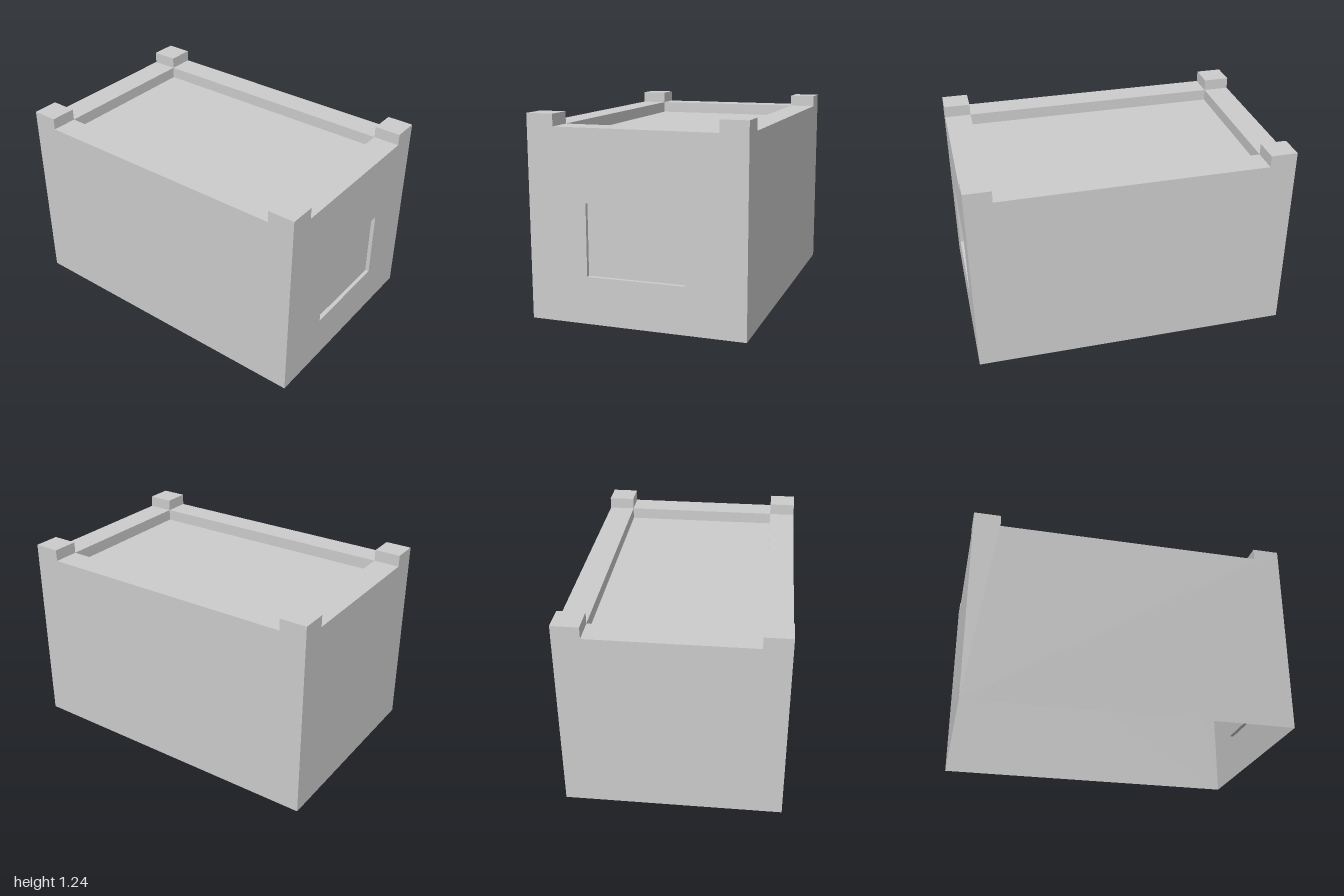
import * as THREE from 'three';

const X = 0.667, Z = 1;             // half width, half depth
const IX = 0.5, IZ = 0.833;         // inner edge of the rim
const TOP = 1.24, RIM = 1.167, FLOOR = 1.093;
const WIN = { x: 0.303, y0: 0.29, y1: 0.73, depth: 0.025 };

// Thin sheet shell, open underneath
const material = new THREE.MeshStandardMaterial({ color: 0xcccccc, side: THREE.DoubleSide });

// Box faces in BoxGeometry order
const PX = 0, NX = 1, PY = 2, NY = 3, PZ = 4, NZ = 5;

function addMesh(parent, name, geometry) {
  const mesh = new THREE.Mesh(geometry, material);
  mesh.name = name;
  parent.add(mesh);
  return mesh;
}

// Box between two corners keeping only the listed faces; inward turns them inside out
function partBox([x0, y0, z0], [x1, y1, z1], faces, inward = false) {
  const g = new THREE.BoxGeometry(x1 - x0, y1 - y0, z1 - z0);
  const all = Array.from(g.index.array);
  const index = faces.flatMap((f) => all.slice(f * 6, f * 6 + 6));
  if (inward) {
    index.reverse();
    g.attributes.normal.array.forEach((n, i, a) => { a[i] = -n; });
  }
  g.setIndex(index);
  g.clearGroups();
  return g.translate((x0 + x1) / 2, (y0 + y1) / 2, (z0 + z1) / 2);
}

// Wall outline with raised corners
function wallShape(half, inner) {
  return new THREE.Shape([
    [-half, 0], [half, 0], [half, TOP], [inner, TOP],
    [inner, RIM], [-inner, RIM], [-inner, TOP], [-half, TOP],
  ].map(([x, y]) => new THREE.Vector2(x, y)));
}

export function createModel() {
  const model = new THREE.Group();
  model.name = 'crate';

  // Outer walls, the front one with an opening for the recess
  const frontShape = wallShape(X, IX);
  frontShape.holes.push(new THREE.Path([
    new THREE.Vector2(-WIN.x, WIN.y0), new THREE.Vector2(-WIN.x, WIN.y1),
    new THREE.Vector2(WIN.x, WIN.y1), new THREE.Vector2(WIN.x, WIN.y0),
  ]));
  const walls = [
    ['frontWall', frontShape, Z, 0],
    ['leftWall', wallShape(Z, IZ), X, Math.PI / 2],
    ['backWall', wallShape(X, IX), Z, Math.PI],
    ['rightWall', wallShape(Z, IZ), X, -Math.PI / 2],
  ];
  for (const [name, shape, offset, turn] of walls) {
    addMesh(model, name, new THREE.ShapeGeometry(shape).translate(0, 0, offset).rotateY(turn));
  }

  // Shallow label recess in the front wall
  addMesh(model, 'frontRecess', partBox(
    [-WIN.x, WIN.y0, Z - WIN.depth], [WIN.x, WIN.y1, Z], [PX, NX, PY, NY, NZ], true));

  // Sunken lid
  addMesh(model, 'sunkenLid', partBox(
    [-IX, FLOOR, -IZ], [IX, RIM, IZ], [PX, NX, NY, PZ, NZ], true));

  // Flat rim ledges between the corners
  const rim = new THREE.Group();
  rim.name = 'rim';
  model.add(rim);
  addMesh(rim, 'leftLedge', partBox([IX, FLOOR, -IZ], [X, RIM, IZ], [PY]));
  addMesh(rim, 'rightLedge', partBox([-X, FLOOR, -IZ], [-IX, RIM, IZ], [PY]));
  addMesh(rim, 'frontLedge', partBox([-IX, FLOOR, IZ], [IX, RIM, Z], [PY]));
  addMesh(rim, 'backLedge', partBox([-IX, FLOOR, -Z], [IX, RIM, -IZ], [PY]));

  // Stacking corners: top and the two inner sides
  for (const sx of [-1, 1]) {
    for (const sz of [-1, 1]) {
      const x0 = sx > 0 ? IX : -X, z0 = sz > 0 ? IZ : -Z;
      addMesh(model, `${sz > 0 ? 'front' : 'back'}${sx > 0 ? 'Left' : 'Right'}Corner`, partBox(
        [x0, RIM, z0], [x0 + X - IX, TOP, z0 + Z - IZ],
        [PY, sx > 0 ? NX : PX, sz > 0 ? NZ : PZ]));
    }
  }

  return model;
}
